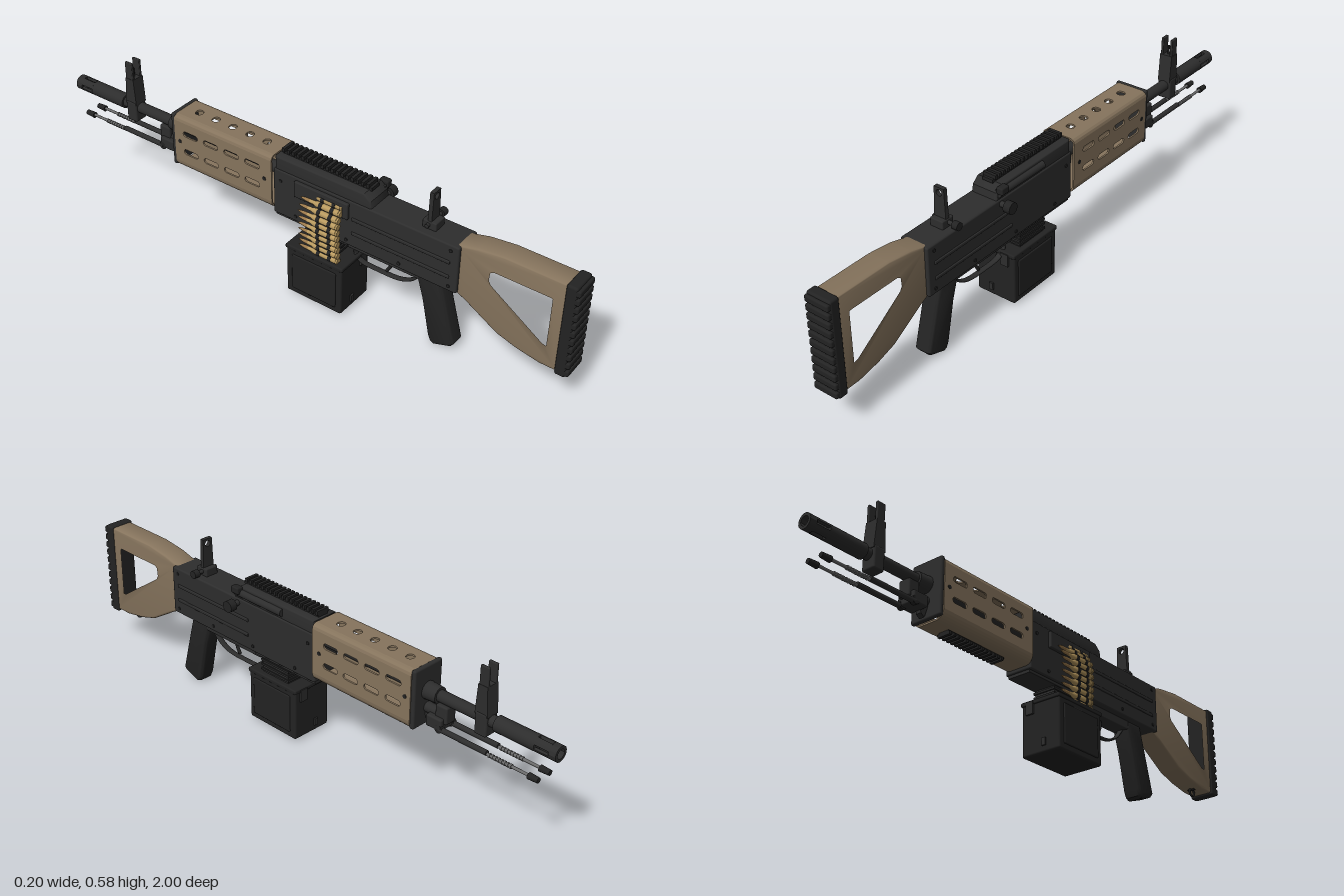
import * as THREE from 'three';
import { toCreasedNormals } from 'three/addons/utils/BufferGeometryUtils.js';
import { RoundedBoxGeometry } from 'three/addons/geometries/RoundedBoxGeometry.js';

const mat = (name, color) => Object.assign(new THREE.MeshStandardMaterial({ color }), { name });

export function createModel() {
  const root = new THREE.Group();
  root.name = 'lightMachineGun';
  const black = mat('gunmetal', 0x2d2d2d);
  const dark = mat('darkRubber', 0x232323);
  const tan = mat('tanPolymer', 0x86745d);
  const brass = mat('brass', 0xb8995f);
  const copper = mat('copper', 0x9c7a4c);
  const steel = mat('steel', 0x6b6b6b);

  const add = (name, geo, m, x = 0, y = 0, z = 0) => {
    const mesh = new THREE.Mesh(geo, m);
    mesh.name = name;
    mesh.position.set(x, y, z);
    root.add(mesh);
    return mesh;
  };
  // Box given by its ranges; r rounds the edges
  const box = (name, m, [x0, x1], [y0, y1], [z0, z1], r = 0) => {
    const s = [x1 - x0, y1 - y0, z1 - z0];
    const geo = r ? new RoundedBoxGeometry(...s, 2, r) : new THREE.BoxGeometry(...s);
    return add(name, geo, m, (x0 + x1) / 2, (y0 + y1) / 2, (z0 + z1) / 2);
  };
  // Cylinder along z, r0 at z0 and r1 at z1
  const rod = (name, m, r0, r1, z0, z1, x, y, seg = 20) =>
    add(name, new THREE.CylinderGeometry(r1, r0, z1 - z0, seg).rotateX(Math.PI / 2), m, x, y, (z0 + z1) / 2);
  // Cylinder along x
  const pin = (name, m, r, x0, x1, y, z, seg = 16) =>
    add(name, new THREE.CylinderGeometry(r, r, x1 - x0, seg).rotateZ(Math.PI / 2), m, (x0 + x1) / 2, y, z);
  const path = (pts, Type = THREE.Shape) => new Type(pts.map(([z, y]) => new THREE.Vector2(-z, y)));
  // Side profile in (z, y), extruded across x
  const profile = (name, m, shape, width, x = 0, bevel = 0) => {
    let geo = new THREE.ExtrudeGeometry(shape, {
      depth: width - 2 * bevel, bevelEnabled: bevel > 0, bevelSize: bevel,
      bevelThickness: bevel, bevelOffset: -bevel, bevelSegments: 4, curveSegments: 10 });
    geo.translate(0, 0, bevel - width / 2).rotateY(Math.PI / 2);
    return add(name, toCreasedNormals(geo, 0.6), m, x);
  };
  // Curved bar: part of a ring, running along z
  const arcBar = (name, m, r, ri, a0, a1, z0, z1, x, y) => {
    const s = new THREE.Shape();
    s.absarc(0, 0, r, a0, a1, false);
    s.absarc(0, 0, ri, a1, a0, true);
    const geo = new THREE.ExtrudeGeometry(s, { depth: z1 - z0, bevelEnabled: false, curveSegments: 8 });
    return add(name, toCreasedNormals(geo, 0.6), m, x, y, z0);
  };
  const slot = (u, v, w, h) => {
    const p = new THREE.Path(), r = h / 2, l = w / 2 - r;
    p.absarc(u + l, v, r, -Math.PI / 2, Math.PI / 2, false);
    p.absarc(u - l, v, r, Math.PI / 2, Math.PI * 1.5, false);
    p.closePath();
    return p;
  };

  // Skeleton stock and ribbed butt pad
  const stock = path([[0.96, 0.468], [0.75, 0.468], [0.66, 0.457], [0.595, 0.44], [0.595, 0.265],
    [0.635, 0.245], [0.75, 0.175], [0.82, 0.153], [0.9, 0.138], [0.96, 0.138]]);
  stock.holes.push(path([[0.925, 0.4], [0.915, 0.407], [0.72, 0.407], [0.703, 0.397], [0.7, 0.36],
    [0.71, 0.342], [0.9, 0.212], [0.92, 0.208], [0.925, 0.215]], THREE.Path));
  profile('stock', tan, stock, 0.082, 0, 0.008);
  box('buttPad', dark, [-0.046, 0.047], [0.13, 0.473], [0.953, 0.99], 0.008);
  for (let i = 0; i < 11; i++)
    box('buttPadRib', dark, [-0.045, 0.046], [0.136 + i * 0.0305, 0.16 + i * 0.0305], [0.97, 1], 0.006);
  add('slingLoop', new THREE.TorusGeometry(0.014, 0.004, 8, 18).rotateY(Math.PI / 2), dark, 0, 0.13, 0.89);
  pin('slingPin', dark, 0.007, -0.014, 0.014, 0.143, 0.89);

  // Receiver with side ribs and rivets
  box('receiver', black, [-0.053, 0.053], [0.265, 0.44], [-0.09, 0.608], 0.006);
  box('receiverFloor', black, [-0.045, 0.045], [0.255, 0.27], [-0.085, 0.2]);
  for (const s of [-1, 1]) {
    for (const y of [0.32, 0.375])
      box('sideRib', black, s > 0 ? [0.05, 0.057] : [-0.057, -0.05], [y - 0.006, y + 0.006], [0.22, 0.58], 0.003);
    for (const [z, y] of [[0.58, 0.42], [0.58, 0.285], [0.4, 0.285], [0.2, 0.285], [0, 0.285], [-0.06, 0.4]])
      pin('rivet', dark, 0.006, s * 0.053 - 0.003, s * 0.053 + 0.003, y, z, 10);
  }

  // Feed cover with hinge, and top rail
  profile('feedCover', black, path([[0.29, 0.435], [0.285, 0.465], [0.26, 0.486], [-0.085, 0.486], [-0.085, 0.435]]), 0.098, 0, 0.006);
  rod('coverRoll', black, 0.014, 0.014, 0.06, 0.28, 0.048, 0.462);
  box('coverLatch', dark, [0.045, 0.07], [0.462, 0.487], [0.25, 0.285], 0.005);
  const rail = (name, y0, y1, toothY0, toothY1, z0, z1, n) => {
    box(name, dark, [-0.02, 0.02], [y0, y1], [z0, z1]);
    const step = (z1 - z0) / n;
    for (let i = 0; i < n; i++)
      box(name + 'Tooth', dark, [-0.025, 0.025], [toothY0, toothY1], [z0 + i * step, z0 + (i + 0.55) * step]);
  };
  rail('topRail', 0.483, 0.495, 0.493, 0.507, -0.075, 0.27, 18);
  rail('lowerRail', 0.272, 0.28, 0.263, 0.274, -0.435, -0.18, 14);

  // Charging handle
  pin('chargingStem', black, 0.01, 0.05, 0.08, 0.423, 0.27);
  pin('chargingKnob', dark, 0.021, 0.074, 0.1, 0.423, 0.27, 10);

  // Rear sight: plate with aperture and adjustment knob
  box('rearSightBase', black, [-0.025, 0.025], [0.438, 0.468], [0.458, 0.508], 0.004);
  pin('rearSightAxle', black, 0.007, -0.035, 0.05, 0.455, 0.48);
  pin('rearSightKnob', dark, 0.014, 0.045, 0.067, 0.455, 0.48, 12);
  const plate = new THREE.Shape([[-0.023, 0.46], [0.023, 0.46], [0.019, 0.57], [-0.019, 0.57]].map(p => new THREE.Vector2(...p)));
  plate.holes.push(new THREE.Path().absarc(0, 0.552, 0.011, 0, Math.PI * 2, true));
  add('rearSightPlate', new THREE.ExtrudeGeometry(plate, { depth: 0.014, bevelEnabled: false }), black, 0, 0, 0.476);

  // Handguard: perforated side and top plates joined by rounded corners
  const Z0 = -0.502, Z1 = -0.09, T = 0.006, W = 0.063, Y0 = 0.278, Y1 = 0.486, RT = 0.018, RB = 0.032;
  for (const s of [-1, 1]) {
    const wall = path([[Z1, Y0 + RB], [Z0, Y0 + RB], [Z0, Y1 - RT], [Z1, Y1 - RT]]);
    for (const z of [-0.17, -0.257, -0.345, -0.433])
      for (const y of [0.355, 0.426]) wall.holes.push(slot(-z, y, 0.062, 0.02));
    profile('handguardSide', tan, wall, T, s * (W - T / 2));
    for (const z of [-0.12, -0.48]) pin('handguardScrew', dark, 0.007, s * W - 0.002, s * W + 0.002, 0.39, z, 10);
    const h = Math.PI / 2, a = s > 0 ? 0 : h, b = s > 0 ? 3 * h : 2 * h;
    arcBar('handguardTopCorner', tan, RT, RT - T, a, a + h, Z0, Z1, s * (W - RT), Y1 - RT);
    arcBar('handguardLowerCorner', tan, RB, RB - T, b, b + h, Z0, Z1, s * (W - RB), Y0 + RB);
  }
  const roof = new THREE.Shape([[-W + RT, -Z1], [W - RT, -Z1], [W - RT, -Z0], [-W + RT, -Z0]].map(p => new THREE.Vector2(...p)));
  for (const z of [-0.155, -0.226, -0.298, -0.37, -0.442]) roof.holes.push(slot(0, -z, 0.03, 0.027));
  add('handguardTop', new THREE.ExtrudeGeometry(roof, { depth: T, bevelEnabled: false }).rotateX(-Math.PI / 2), tan, 0, Y1 - T, 0);
  box('handguardBottom', tan, [-W + RB, W - RB], [Y0, Y0 + T], [Z0, Z1]);
  box('handguardCap', black, [-0.062, 0.062], [0.285, 0.488], [-0.517, -0.5], 0.007);

  // Barrel, gas tube and slotted flash hider
  const BY = 0.403;
  rod('barrel', black, 0.019, 0.02, -0.92, -0.09, 0, BY);
  rod('barrelCollar', black, 0.027, 0.03, -0.565, -0.515, 0, BY);
  rod('hiderBase', black, 0.026, 0.026, -0.925, -0.78, 0, BY);
  for (let i = 0; i < 4; i++) {
    const c = Math.PI / 4 + i * Math.PI / 2;
    arcBar('hiderProng', black, 0.026, 0.016, c - 0.5, c + 0.5, -0.976, -0.924, 0, BY);
  }
  for (let i = 0; i < 2; i++)
    arcBar('hiderRing', black, 0.026, 0.016, i * Math.PI, (i + 1) * Math.PI, -1, -0.975, 0, BY);
  rod('gasTube', black, 0.017, 0.017, -0.59, -0.515, 0, 0.345);
  box('gasBlock', black, [-0.022, 0.022], [0.325, 0.385], [-0.61, -0.565], 0.006);

  // Front sight: clamp, tower, two ears and a post
  box('frontSightClamp', black, [-0.026, 0.026], [0.352, 0.43], [-0.758, -0.714], 0.007);
  profile('frontSightTower', black, path([[-0.712, 0.42], [-0.76, 0.42], [-0.752, 0.52], [-0.718, 0.52]]), 0.048);
  for (const s of [-1, 1])
    box('frontSightEar', black, [s * 0.018 - 0.005, s * 0.018 + 0.005], [0.51, 0.582], [-0.752, -0.72], 0.003);
  add('frontSightPost', new THREE.CylinderGeometry(0.003, 0.004, 0.04, 8), dark, 0, 0.533, -0.735);

  // Folded bipod: sleeve, sprung rod and foot on each side
  box('bipodMount', black, [-0.035, 0.035], [0.305, 0.345], [-0.6, -0.54], 0.006);
  for (const s of [-1, 1]) {
    const x = s * 0.027;
    pin('bipodHinge', dark, 0.014, x - 0.008, x + 0.008, 0.312, -0.59);
    rod('bipodSleeve', black, 0.009, 0.009, -0.77, -0.59, x, 0.309, 12);
    rod('bipodRod', steel, 0.005, 0.005, -0.93, -0.77, x, 0.306, 10);
    for (let i = 0; i < 8; i++) rod('bipodSpringCoil', steel, 0.0075, 0.0075, -0.86 + i * 0.011, -0.854 + i * 0.011, x, 0.306, 10);
    rod('bipodFoot', dark, 0.009, 0.011, -0.955, -0.92, x, 0.305, 12);
  }
  profile('bipodCatch', black, path([[-0.515, 0.33], [-0.55, 0.33], [-0.545, 0.295], [-0.53, 0.285]]), 0.02);

  // Pistol grip, trigger and guard
  profile('pistolGrip', dark, path([[0.535, 0.27], [0.455, 0.27], [0.455, 0.235], [0.475, 0.17], [0.505, 0.03],
    [0.515, 0.008], [0.53, 0.001], [0.59, 0.022], [0.6, 0.035], [0.555, 0.2]]), 0.066, 0, 0.015);
  box('triggerPlate', black, [-0.03, 0.03], [0.235, 0.268], [0.19, 0.47], 0.004);
  const guard = new THREE.CatmullRomCurve3([[0.455, 0.235], [0.425, 0.2], [0.38, 0.178], [0.3, 0.173], [0.23, 0.178], [0.205, 0.2], [0.205, 0.24]]
    .map(([z, y]) => new THREE.Vector3(0, y, z)));
  add('triggerGuard', new THREE.TubeGeometry(guard, 30, 0.0045, 8).scale(2.5, 1, 1), black);
  const pull = new THREE.CatmullRomCurve3([[0.335, 0.245], [0.34, 0.215], [0.325, 0.185]].map(([z, y]) => new THREE.Vector3(0, y, z)));
  add('trigger', new THREE.TubeGeometry(pull, 10, 0.006, 8), dark);

  // Ammunition box with lid, latch and neck
  box('magazineNeck', black, [-0.04, 0.04], [0.195, 0.268], [0.045, 0.165]);
  for (let i = 0; i < 3; i++) box('neckRib', dark, [-0.044, 0.044], [0.207 + i * 0.017, 0.215 + i * 0.017], [0.04, 0.17]);
  box('ammoBox', dark, [-0.098, 0.056], [0.008, 0.192], [-0.004, 0.216], 0.008);
  box('ammoBoxLid', dark, [-0.1, 0.059], [0.184, 0.2], [-0.008, 0.22], 0.005);
  box('boxSidePanel', dark, [0.05, 0.06], [0.03, 0.17], [0.02, 0.195], 0.004);
  box('boxSidePanel', dark, [-0.102, -0.092], [0.03, 0.17], [0.02, 0.195], 0.004);
  for (const z of [-0.006, 0.218]) {
    box('boxTab', black, [-0.045, -0.03], [0.03, 0.056], [z - 0.004, z + 0.004]);
    box('boxLatch', black, [0.005, 0.035], [0.15, 0.195], [z - 0.005, z + 0.005]);
  }

  // Feed tray and hanging cartridge belt
  box('feedTray', black, [-0.064, -0.05], [0.37, 0.43], [0.0, 0.21], 0.004);
  const belt = [[-0.056, 0.405], [-0.068, 0.387], [-0.078, 0.366]];
  for (let i = 0; i < 7; i++) belt.push([-0.082 + 0.0008 * Math.max(0, i - 2) * 1.5, 0.343 - i * 0.0232]);
  const shell = [[0, 0.19], [0.011, 0.19], [0.011, 0.184], [0.0095, 0.182], [0.011, 0.178], [0.0105, 0.098], [0.0065, 0.085], [0.0062, 0.07]];
  const bullet = [[0.006, 0.072], [0.0057, 0.055], [0.0035, 0.04], [0, 0.03]];
  const lathe = pts => toCreasedNormals(new THREE.LatheGeometry(
    pts.map(([r, z]) => new THREE.Vector2(r, z)).reverse(), 14).rotateX(Math.PI / 2), 0.6);
  const shellGeo = lathe(shell), bulletGeo = lathe(bullet);
  for (const [x, y] of belt) {
    add('cartridgeCase', shellGeo, brass, x, y);
    add('bulletTip', bulletGeo, copper, x, y);
    for (const z of [0.108, 0.152]) rod('beltLink', dark, 0.0122, 0.0122, z, z + 0.012, x, y, 12);
    box('beltLinkTab', dark, [x - 0.004, x + 0.004], [y - 0.016, y], [0.11, 0.16]);
  }
  return root;
}
